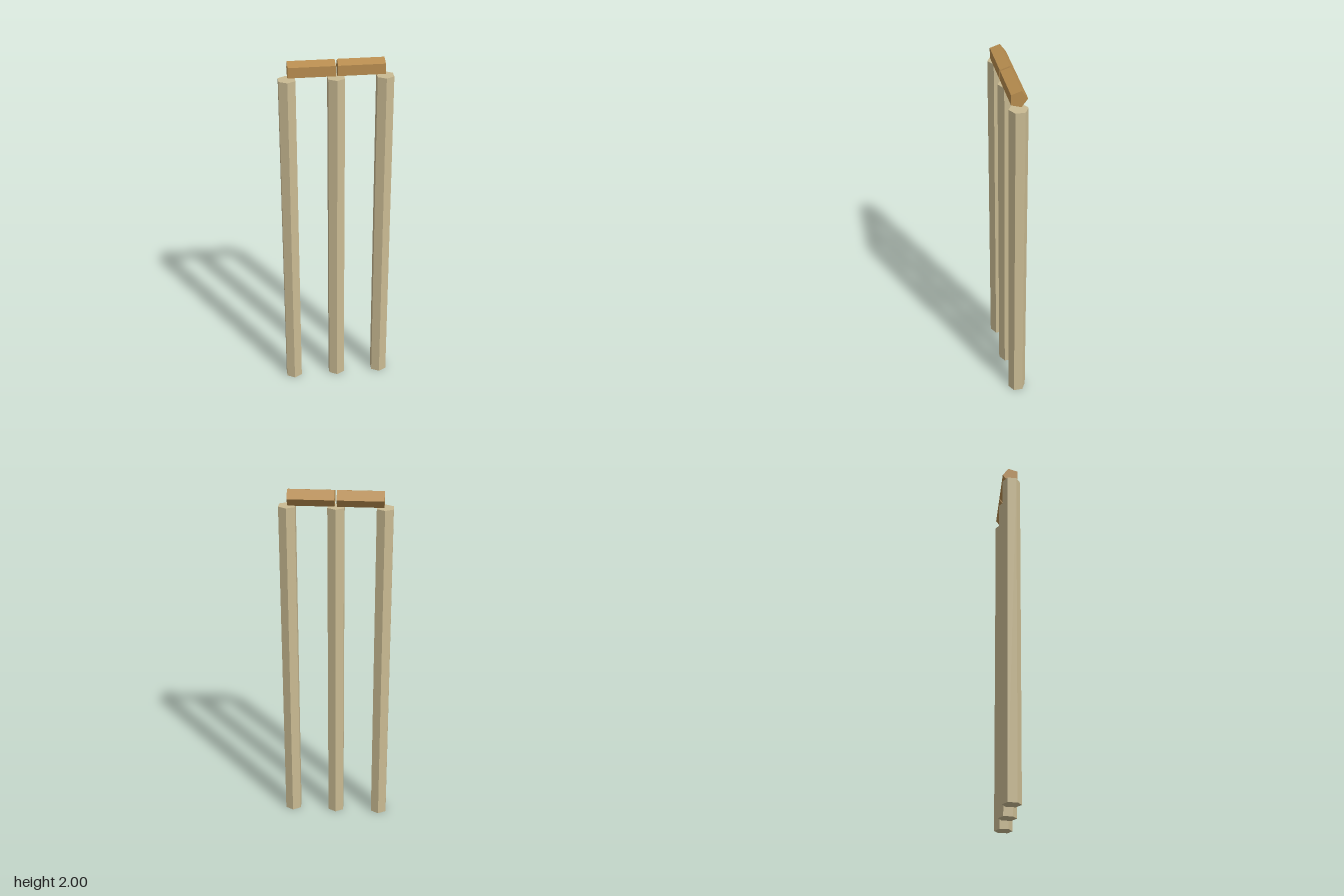
import * as THREE from 'three';

export function createModel() {
  const group = new THREE.Group();
  const paleWood = new THREE.MeshStandardMaterial({ color: 0xcabb93, flatShading: true });
  paleWood.name = 'paleWood';
  const warmWood = new THREE.MeshStandardMaterial({ color: 0xb88d4f, flatShading: true });
  warmWood.name = 'warmWood';

  // Three hexagonal upright posts, corners facing front and back
  const postHeight = 1.906;
  const postGeometry = new THREE.CylinderGeometry(0.0505, 0.0505, postHeight, 6);
  ['rightPost', 'middlePost', 'leftPost'].forEach((name, i) => {
    const post = new THREE.Mesh(postGeometry, paleWood);
    post.name = name;
    post.position.set((i - 1) * 0.256, postHeight / 2, 0);
    group.add(post);
  });

  // Two pentagonal crossbars resting end to end on top, ridge facing back
  const barGeometry = new THREE.CylinderGeometry(0.0475, 0.0475, 0.246, 5, 1, false, Math.PI);
  barGeometry.rotateZ(Math.PI / 2);
  [['rightCrossbar', -1], ['leftCrossbar', 1]].forEach(([name, side]) => {
    const bar = new THREE.Mesh(barGeometry, warmWood);
    bar.name = name;
    bar.position.set(side * 0.129, 1.955, -0.001);
    group.add(bar);
  });

  return group;
}
